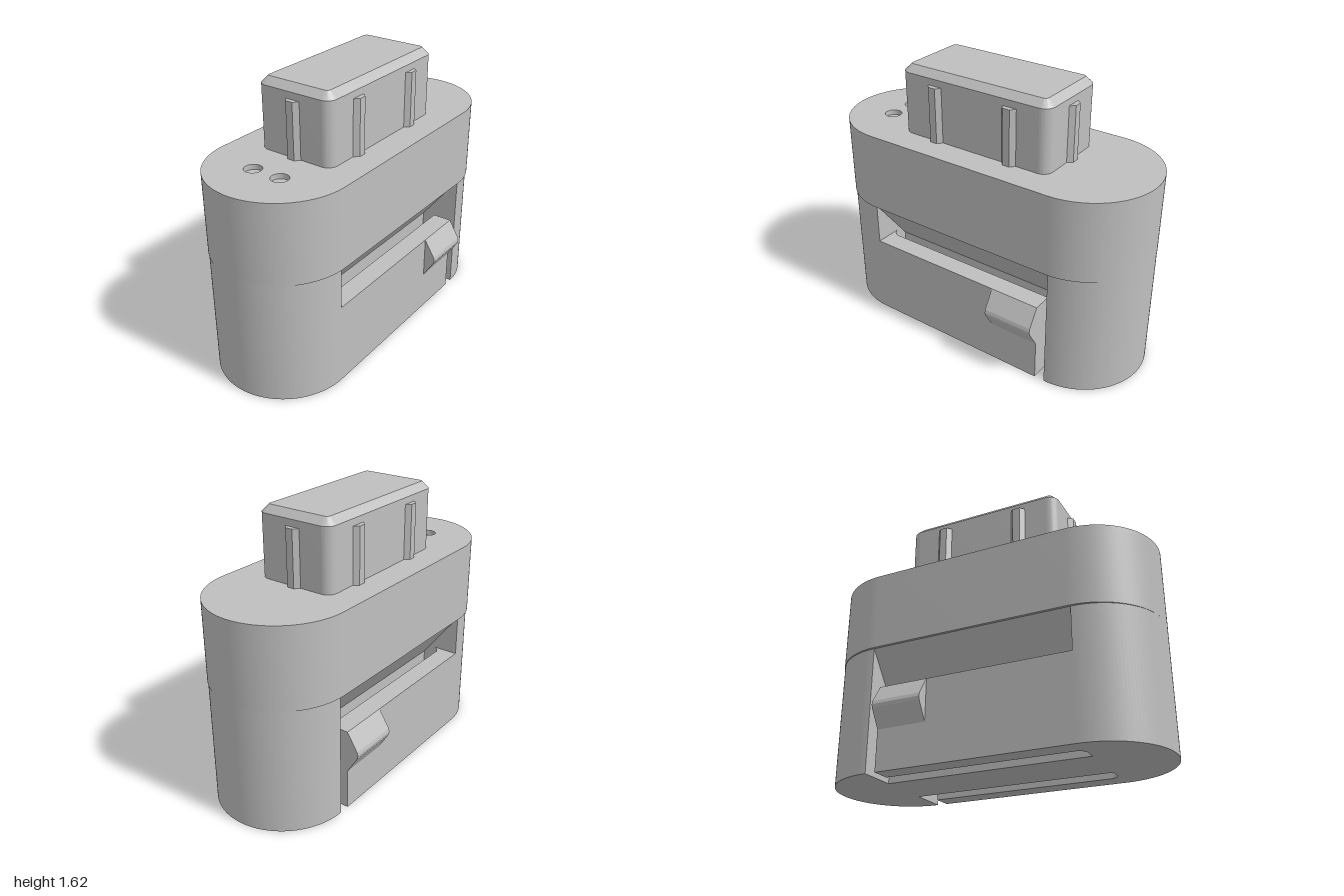
import * as THREE from 'three';
import { toCreasedNormals } from 'three/addons/utils/BufferGeometryUtils.js';

const plastic = new THREE.MeshStandardMaterial({ color: 0xbfbfbf });
plastic.name = 'greyPlastic';

const polygon = (points) => new THREE.Shape(points.map(([x, y]) => new THREE.Vector2(x, y)));

// Extrude a plan (x, -z) upwards from y0 to y1
function rise(shape, y0, y1, options = {}) {
  const geometry = new THREE.ExtrudeGeometry(shape, {
    depth: y1 - y0, bevelEnabled: false, curveSegments: 32, ...options,
  });
  geometry.rotateX(-Math.PI / 2).translate(0, y0, 0);
  return toCreasedNormals(geometry, 0.5);
}

// Extrude a side profile (x, y) along z from z0 to z1
function along(shape, z0, z1) {
  return new THREE.ExtrudeGeometry(shape, { depth: z1 - z0, bevelEnabled: false }).translate(0, 0, z0);
}

function stadium(radius) {
  const s = new THREE.Shape();
  s.absarc(0, 1 - radius, radius, 0, Math.PI);
  s.absarc(0, radius - 1, radius, Math.PI, Math.PI * 2);
  s.closePath();
  return s;
}

function roundedRect(w, h, r) {
  const s = new THREE.Shape();
  s.absarc(w - r, h - r, r, 0, Math.PI / 2);
  s.absarc(r - w, h - r, r, Math.PI / 2, Math.PI);
  s.absarc(r - w, r - h, r, Math.PI, Math.PI * 1.5);
  s.absarc(w - r, r - h, r, Math.PI * 1.5, Math.PI * 2);
  s.closePath();
  return s;
}

export function createModel() {
  const model = new THREE.Group();
  model.name = 'connectorHousing';
  const add = (name, geometry) => {
    const mesh = new THREE.Mesh(geometry, plastic);
    mesh.name = name;
    model.add(mesh);
    return mesh;
  };

  const W = 0.395;       // lower half width
  const END = 0.605;     // slot ends
  const CORE = 0.165;    // half width of the central wall
  const SHOULDER = 0.74; // underside of the upper body
  const TOP = 1.21;

  // Upper body with two shallow round holes
  add('upperBody', rise(stadium(0.41), SHOULDER, TOP - 0.03));
  const plate = stadium(0.41);
  for (const x of [-0.09, 0.09]) {
    plate.holes.push(new THREE.Path().absarc(x, -0.705, 0.05, 0, Math.PI * 2, true));
  }
  add('topPlate', rise(plate, TOP - 0.03, TOP));

  // Lower body: round ends joined by the central wall
  const core = new THREE.Shape();
  core.absarc(0, END, W, 0, Math.PI);
  core.lineTo(-CORE, END);
  core.lineTo(-CORE, -END);
  core.lineTo(-W, -END);
  core.absarc(0, -END, W, Math.PI, Math.PI * 2);
  core.lineTo(CORE, -END);
  core.lineTo(CORE, END);
  core.closePath();
  add('lowerBody', rise(core, 0, SHOULDER));

  for (const side of [-1, 1]) {
    const label = side > 0 ? 'left' : 'right';
    const mirrored = (points) => polygon(points.map(([x, y]) => [x * side, y]));

    // Sloping roof of the side slot
    add(label + 'SlotRoof', along(mirrored([
      [CORE, 0.44], [W, SHOULDER], [CORE, SHOULDER],
    ]), -END, END));

    // Springy latch arm, fixed at the front and free at the back
    add(label + 'LatchArm', rise(mirrored([
      [W, -END], [W, 0.545], [0.28, 0.545], [0.28, -0.565], [0.265, -0.59], [0.24, -END],
    ]), 0, 0.49));

    // Wedge-shaped catch on the arm
    add(label + 'LatchCatch', along(mirrored([
      [W - 0.01, 0.24], [W, 0.24], [0.46, 0.345], [0.465, 0.365],
      [0.46, 0.385], [W, 0.49], [W - 0.01, 0.49],
    ]), -0.545, -0.245));
  }

  // Plug with a chamfered top
  add('plug', rise(roundedRect(0.24, 0.485, 0.06), 1.15, 1.575, {
    bevelEnabled: true, bevelSize: 0.04, bevelOffset: -0.04,
    bevelThickness: 0.04, bevelSegments: 1, curveSegments: 8,
  }));

  // Tapered keying ribs around the plug
  const rib = rise(polygon([
    [-0.01, -0.045], [0, -0.045], [0.028, -0.022], [0.028, 0.022], [0, 0.045], [-0.01, 0.045],
  ]), TOP, 1.535);
  const ribs = [[0.24, 0.245, 0], [0.24, -0.245, 0], [-0.24, 0.245, Math.PI], [-0.24, -0.245, Math.PI],
    [0, 0.485, -Math.PI / 2], [0, -0.485, Math.PI / 2]];
  for (const [x, z, turn] of ribs) {
    const mesh = add('keyRib', rib);
    mesh.position.set(x, 0, z);
    mesh.rotation.y = turn;
  }

  return model;
}
